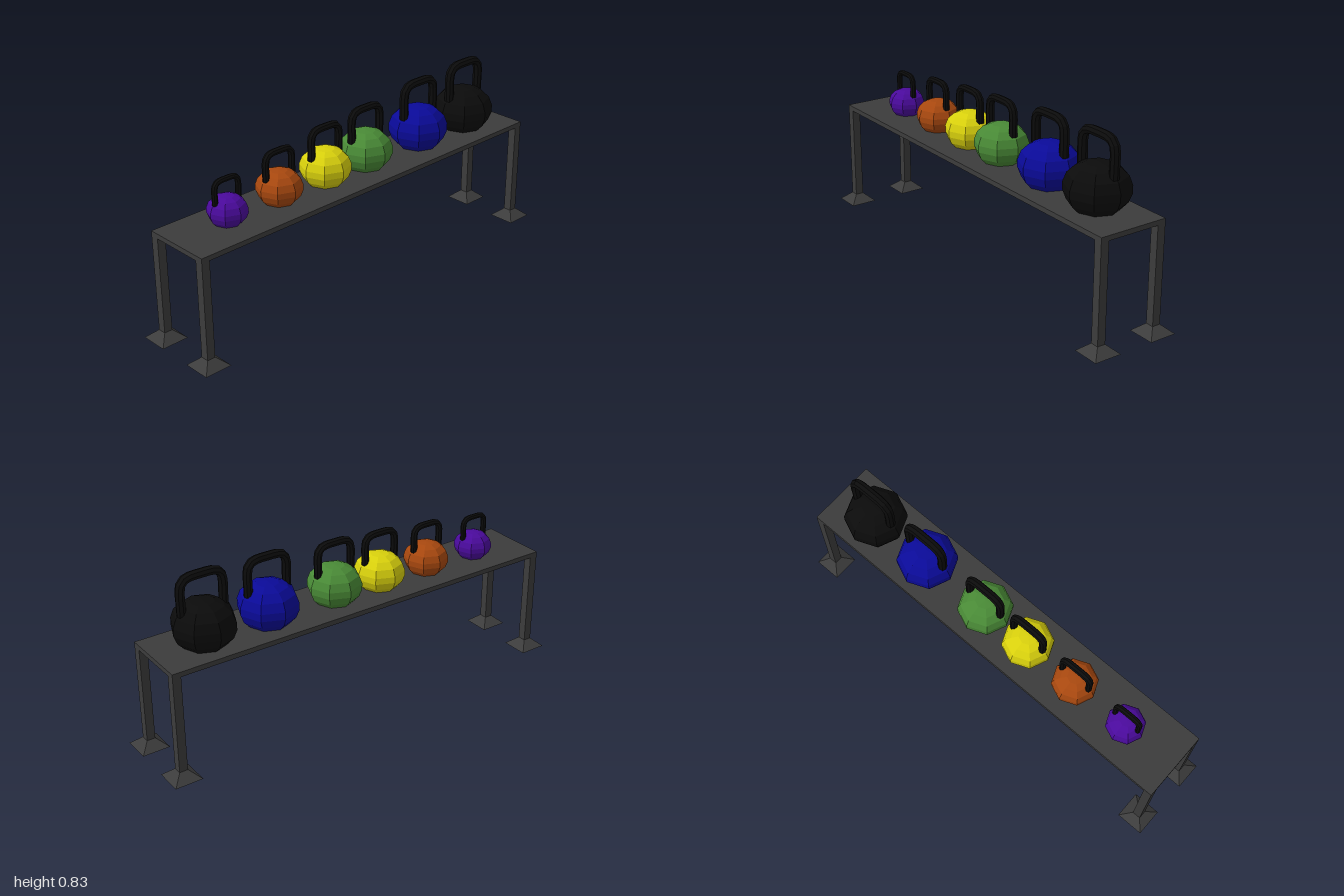
import * as THREE from 'three';

const mat = (name, color) => {
  const m = new THREE.MeshStandardMaterial({ color });
  m.name = name;
  m.flatShading = true;
  return m;
};

// Kettlebell profile and handle centreline, at the size of the largest bell (radius 0.138)
const PROFILE = [[0, 0], [0.093, 0], [0.122, 0.03], [0.137, 0.068], [0.137, 0.102],
  [0.122, 0.142], [0.09, 0.173], [0.05, 0.189], [0, 0.193]];
const HALF_HANDLE = [[0.095, 0.13], [0.096, 0.2], [0.096, 0.26], [0.086, 0.293], [0.06, 0.307]];

function bodyGeometry() {
  return new THREE.LatheGeometry(PROFILE.map(([r, y]) => new THREE.Vector2(r, y)), 8);
}

function handleGeometry() {
  const left = HALF_HANDLE.map(([z, y]) => new THREE.Vector3(0, y, z));
  const right = HALF_HANDLE.map(([z, y]) => new THREE.Vector3(0, y, -z)).reverse();
  const path = new THREE.CatmullRomCurve3([...left, new THREE.Vector3(0, 0.31, 0), ...right]);
  const g = new THREE.TubeGeometry(path, 20, 0.0195, 8, false);
  g.scale(1.12, 1, 1);
  return g;
}

export function createModel() {
  const root = new THREE.Group();
  root.name = 'kettlebellRack';
  const grey = mat('darkGrey', 0x3c3c3c);
  const black = mat('black', 0x0b0b0b);

  const add = (parent, name, geometry, material, x, y, z) => {
    const mesh = new THREE.Mesh(geometry, material);
    mesh.name = name;
    mesh.position.set(x, y, z);
    parent.add(mesh);
    return mesh;
  };

  // Bench top
  const topY = 0.497;
  add(root, 'benchTop', new THREE.BoxGeometry(0.32, 0.022, 1.912), grey, 0, topY - 0.011, 0);

  // Four legs on flared square feet
  const legGeo = new THREE.BoxGeometry(0.038, 0.44, 0.038);
  const footGeo = new THREE.CylinderGeometry(0.019 * Math.SQRT2, 0.063 * Math.SQRT2, 0.038, 4);
  footGeo.rotateY(Math.PI / 4);
  for (const sx of [1, -1]) {
    for (const sz of [1, -1]) {
      const name = (sz > 0 ? 'front' : 'back') + (sx > 0 ? 'Left' : 'Right');
      add(root, name + 'Leg', legGeo, grey, sx * 0.141, 0.256, sz * 0.937);
      add(root, name + 'Foot', footGeo, grey, sx * 0.141, 0.019, sz * 0.937);
    }
  }

  // Row of kettlebells, growing from front to back: name, material, z, body radius
  const bells = [
    ['purple', mat('purple', 0x4a0a9c), 0.69, 0.085],
    ['orange', mat('orange', 0xa8480f), 0.415, 0.1],
    ['yellow', mat('yellow', 0xd8d00c), 0.155, 0.112],
    ['green', mat('green', 0x498a36), -0.085, 0.12],
    ['blue', mat('blue', 0x0a0a98), -0.42, 0.133],
    ['black', black, -0.725, 0.138],
  ];
  const bodyGeo = bodyGeometry();
  const handleGeo = handleGeometry();
  for (const [name, material, z, radius] of bells) {
    const bell = new THREE.Group();
    bell.name = name + 'Kettlebell';
    bell.position.set(-0.009, topY, z);
    bell.scale.setScalar(radius / 0.137);
    add(bell, name + 'Body', bodyGeo, material, 0, 0, 0);
    add(bell, name + 'Handle', handleGeo, black, 0, 0, 0);
    root.add(bell);
  }
  return root;
}
